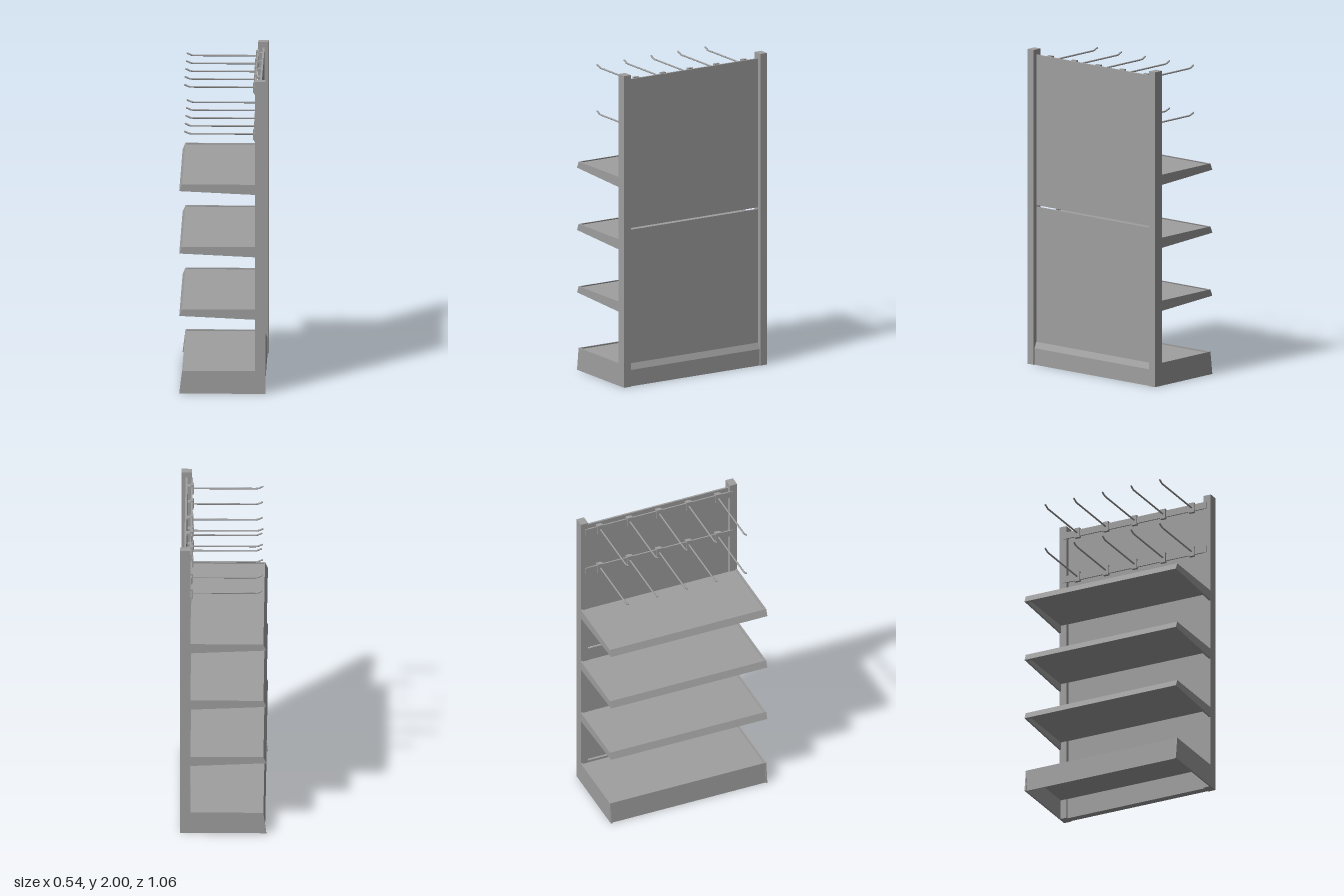
import * as THREE from 'three';

const steel = new THREE.MeshStandardMaterial({ color: 0x9f9f9f });
steel.name = 'grey steel';

// Prism: an x/y outline swept from z0 to z1
function prism(name, points, z0, z1) {
  const shape = new THREE.Shape(points.map(([x, y]) => new THREE.Vector2(x, y)));
  const geo = new THREE.ExtrudeGeometry(shape, { depth: z1 - z0, bevelEnabled: false });
  geo.translate(0, 0, z0);
  const mesh = new THREE.Mesh(geo, steel);
  mesh.name = name;
  return mesh;
}

function box(name, x0, x1, y0, y1, z0, z1) {
  const mesh = new THREE.Mesh(new THREE.BoxGeometry(x1 - x0, y1 - y0, z1 - z0), steel);
  mesh.position.set((x0 + x1) / 2, (y0 + y1) / 2, (z0 + z1) / 2);
  mesh.name = name;
  return mesh;
}

// Hollow tray with tapered side plates, a sunken deck and a sloping lip
function makeShelf(top) {
  const g = new THREE.Group();
  g.name = 'shelf';
  const side = [[-0.25, 0], [0.203, 0], [0.203, -0.065], [-0.268, -0.043]];
  g.add(prism('shelfSideRight', side, -0.53, -0.518));
  g.add(prism('shelfSideLeft', side, 0.518, 0.53));
  g.add(box('shelfDeck', -0.25, 0.205, -0.016, -0.007, -0.518, 0.518));
  g.add(prism('shelfLip',
    [[-0.25, 0], [-0.243, 0], [-0.257, -0.037], [-0.245, -0.037], [-0.245, -0.044], [-0.268, -0.043]],
    -0.518, 0.518));
  g.position.y = top;
  return g;
}

// Deep foot tray with a kick plate behind flared side plates
function makeBase() {
  const g = new THREE.Group();
  g.name = 'base';
  const side = [[-0.25, 0.145], [0.203, 0.145], [0.203, 0], [-0.268, 0]];
  g.add(prism('baseSideRight', side, -0.53, -0.52));
  g.add(prism('baseSideLeft', side, 0.52, 0.53));
  g.add(box('baseDeck', -0.245, 0.205, 0.127, 0.136, -0.52, 0.52));
  g.add(prism('kickPlate', [[-0.25, 0.145], [-0.242, 0.145], [-0.252, 0], [-0.26, 0]], -0.52, 0.52));
  return g;
}

// Hook rod with upturned tip on a clip
function makeHook(z) {
  const g = new THREE.Group();
  g.name = 'hook';
  const path = new THREE.CurvePath();
  const p = [[0.2, 0], [-0.205, 0], [-0.236, 0.014]].map(([x, y]) => new THREE.Vector3(x, y, 0));
  path.add(new THREE.LineCurve3(p[0], p[1]));
  path.add(new THREE.LineCurve3(p[1], p[2]));
  const rod = new THREE.Mesh(new THREE.TubeGeometry(path, 30, 0.0055, 8), steel);
  rod.name = 'hookRod';
  const tip = new THREE.Mesh(new THREE.SphereGeometry(0.0055, 8, 6), steel);
  tip.name = 'hookTip';
  tip.position.copy(p[2]);
  g.add(rod, tip);
  g.add(box('hookClip', 0.19, 0.209, -0.033, 0.032, -0.018, 0.018));
  g.add(box('hookClipBack', 0.209, 0.23, 0.005, 0.02, -0.016, 0.016));
  g.position.z = z;
  return g;
}

export function createModel() {
  const model = new THREE.Group();
  model.name = 'displayShelving';

  // Uprights
  model.add(box('postRight', 0.203, 0.268, 0, 2, -0.53, -0.48));
  model.add(box('postLeft', 0.203, 0.268, 0, 2, 0.48, 0.53));

  // Back panels with an open slot between them
  model.add(box('lowerPanel', 0.231, 0.243, 0.143, 1.0, -0.482, 0.482));
  model.add(box('upperPanel', 0.231, 0.243, 1.011, 1.966, -0.482, 0.482));

  // Bottom beam with a sloped upper edge
  model.add(prism('bottomBeam',
    [[0.215, 0], [0.261, 0], [0.261, 0.105], [0.243, 0.143], [0.215, 0.143]], -0.482, 0.482));

  model.add(makeBase());
  for (const top of [0.54, 0.94, 1.34]) model.add(makeShelf(top));

  // Two rails of five hooks
  for (const y of [1.633, 1.933]) {
    const row = new THREE.Group();
    row.name = 'hookRow';
    row.add(box('hookRail', 0.198, 0.207, -0.022, 0.022, -0.5, 0.5));
    for (let i = -2; i <= 2; i++) row.add(makeHook(i * 0.2));
    row.position.y = y;
    model.add(row);
  }
  return model;
}
